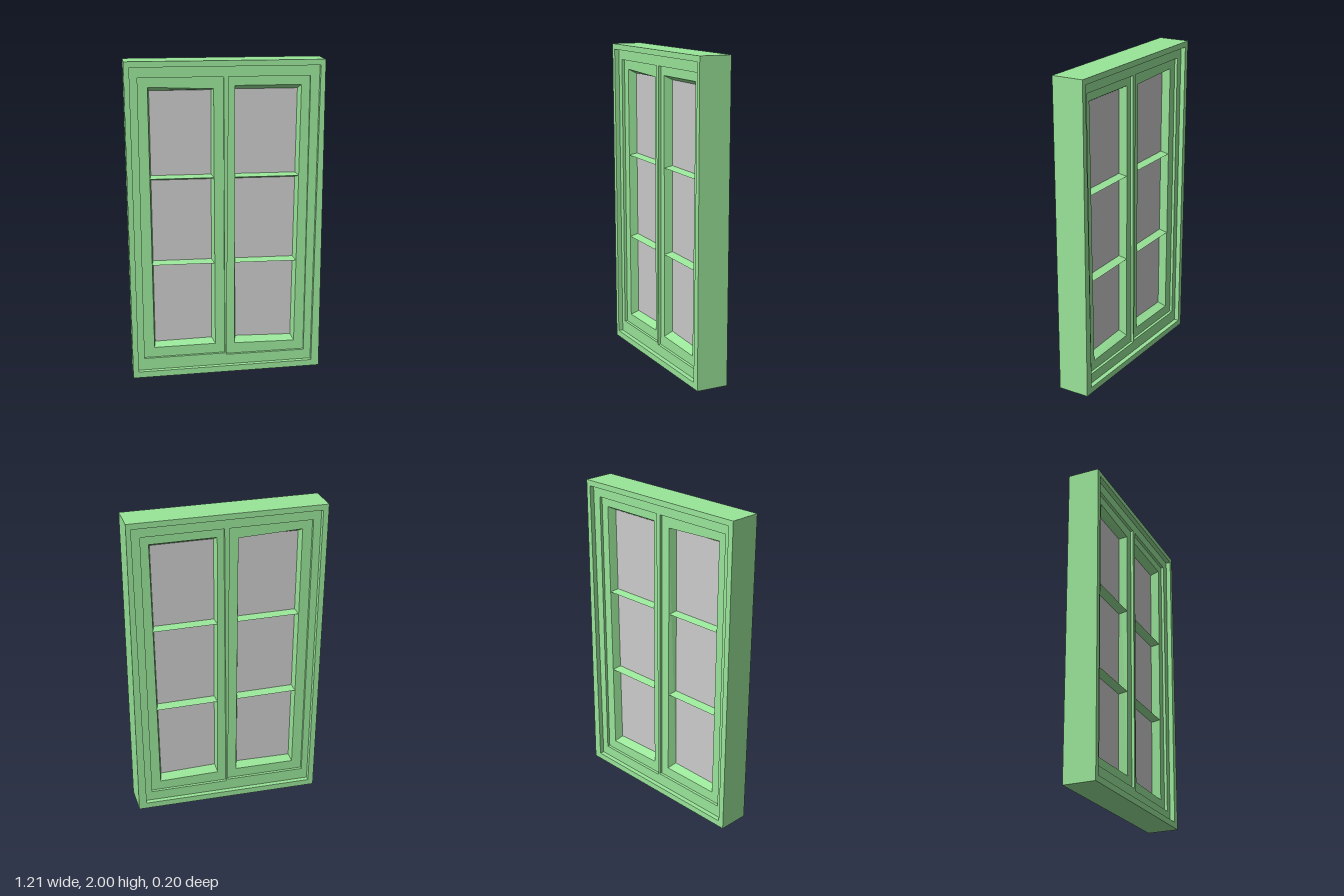
import * as THREE from 'three';

const green = new THREE.MeshStandardMaterial({ color: 0x99e599, flatShading: true });
const glass = new THREE.MeshStandardMaterial({ color: 0xcccccc, side: THREE.DoubleSide });

// Slightly crooked outlines, counter-clockwise from bottom left
const OUTER = [[-0.59, 0], [0.607, 0.03], [0.607, 2], [-0.607, 2]];
const REBATE = [[-0.555, 0.04], [0.557, 0.068], [0.578, 1.965], [-0.573, 1.965]];
const SASHES = [
  {
    name: 'rightSash',
    outline: [[-0.515, 0.118], [0, 0.13], [-0.008, 1.9], [-0.525, 1.9]],
    opening: [[-0.45, 0.183], [-0.06, 0.192], [-0.067, 1.827], [-0.465, 1.842]],
    pane: [[-0.442, 0.205], [-0.078, 0.217], [-0.078, 1.815], [-0.455, 1.815]],
  },
  {
    name: 'leftSash',
    outline: [[0.01, 0.12], [0.512, 0.13], [0.522, 1.9], [0.022, 1.9]],
    opening: [[0.065, 0.19], [0.45, 0.19], [0.47, 1.845], [0.062, 1.845]],
    pane: [[0.073, 0.22], [0.435, 0.215], [0.455, 1.818], [0.07, 1.818]],
  },
];
const SASH_Z = 0.052;
const BARS = [[0.745, 0.73, 0.715], [1.292, 1.28, 1.263]]; // top, ridge, bottom heights

const toShape = (pts, holes = []) => {
  const shape = new THREE.Shape(pts.map(p => new THREE.Vector2(...p)));
  shape.holes = holes.map(h => new THREE.Path(h.map(p => new THREE.Vector2(...p))));
  return shape;
};

// Flat board with holes, centred in depth
function board(name, pts, holes, depth) {
  const geo = new THREE.ExtrudeGeometry(toShape(pts, holes), { depth, bevelEnabled: false });
  geo.translate(0, 0, -depth / 2);
  const mesh = new THREE.Mesh(geo, green);
  mesh.name = name;
  return mesh;
}

// Skin of quads between successive closed loops of 3D points
function loft(name, loops) {
  const pos = [];
  for (let k = 0; k + 1 < loops.length; k++) {
    const a = loops[k], b = loops[k + 1], n = a.length;
    for (let i = 0; i < n; i++) {
      const j = (i + 1) % n;
      pos.push(...a[i], ...a[j], ...b[j], ...a[i], ...b[j], ...b[i]);
    }
  }
  const geo = new THREE.BufferGeometry();
  geo.setAttribute('position', new THREE.Float32BufferAttribute(pos, 3));
  geo.computeVertexNormals();
  const mesh = new THREE.Mesh(geo, green);
  mesh.name = name;
  return mesh;
}

const atZ = (pts, z) => pts.map(([x, y]) => [x, y, z]);

// x of an outline's left or right edge at height y
function edgeX(pts, right, y) {
  const [lo, hi] = right ? [pts[1], pts[2]] : [pts[0], pts[3]];
  return THREE.MathUtils.mapLinear(y, lo[1], hi[1], lo[0], hi[0]);
}

function makeSash({ name, outline, opening, pane }) {
  const sash = new THREE.Group();
  sash.name = name;

  // Splayed reveals narrowing to the pane from both faces
  sash.add(loft('sashFrame', [
    atZ(outline, SASH_Z), atZ(opening, SASH_Z), atZ(pane, 0),
    atZ(opening, -SASH_Z), atZ(outline, -SASH_Z),
  ]));

  const sheet = new THREE.Mesh(new THREE.ShapeGeometry(toShape(pane)), glass);
  sheet.name = 'glassPane';
  sash.add(sheet);

  // Glazing bars, wide at the pane and sharp at each face
  for (const [top, ridge, bottom] of BARS) {
    const section = right => [
      [edgeX(pane, right, top), top, 0],
      [edgeX(opening, right, ridge), ridge, SASH_Z],
      [edgeX(pane, right, bottom), bottom, 0],
      [edgeX(opening, right, ridge), ridge, -SASH_Z],
    ];
    sash.add(loft('glazingBar', [section(false), section(true)]));
  }
  return sash;
}

export function createModel() {
  const model = new THREE.Group();
  model.name = 'window';
  model.add(board('outerFrame', OUTER, [REBATE], 0.2));
  model.add(board('innerFrame', REBATE, SASHES.map(s => s.outline), 0.14));
  SASHES.forEach(s => model.add(makeSash(s)));
  return model;
}
